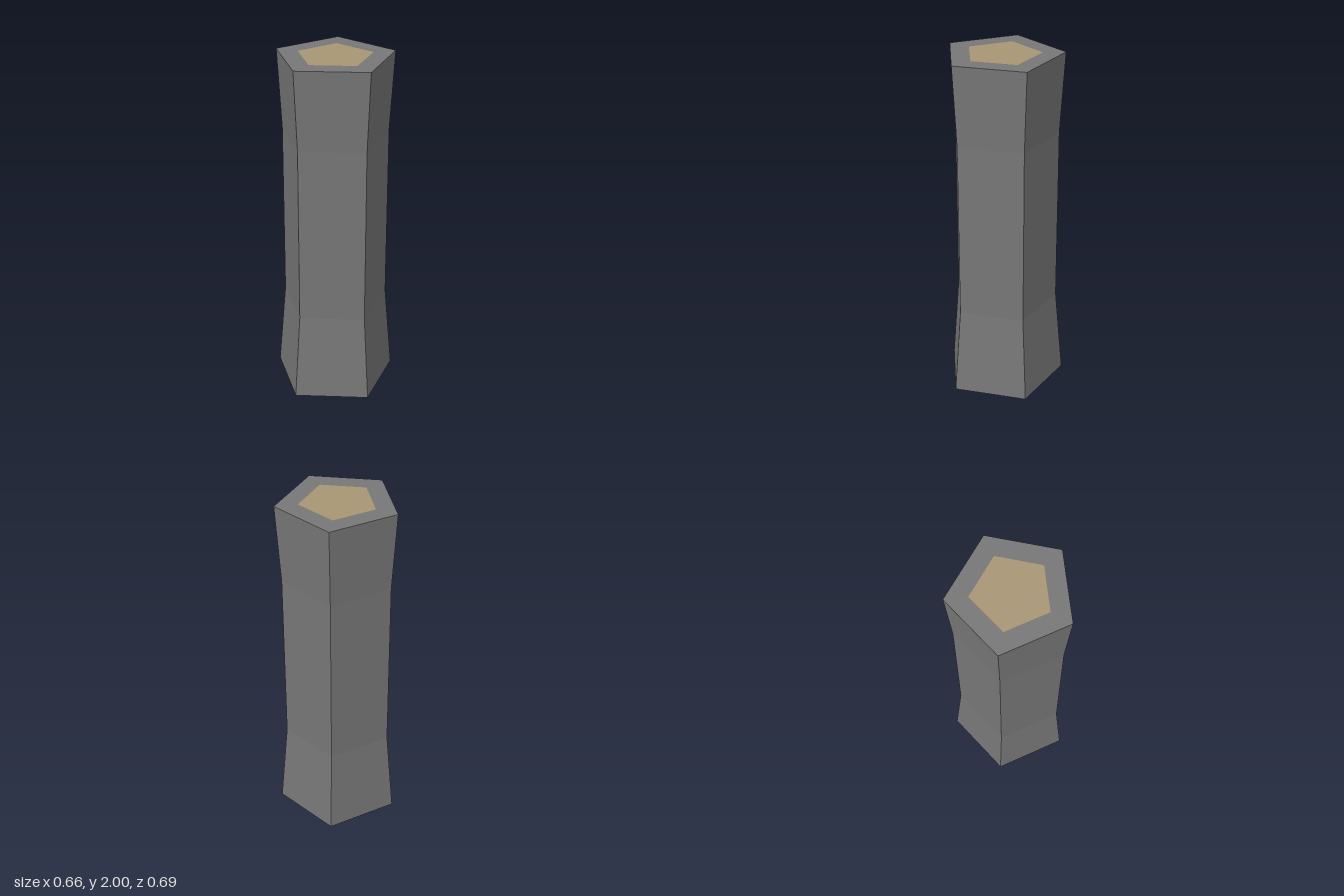
import * as THREE from 'three';

const SIDES = 5;
const RADIUS = 0.361;
const START = THREE.MathUtils.degToRad(51.5);

// Faceted surface from a [radius factor, height] profile, listed bottom to top
function facetedLathe(name, profile, color) {
  const points = profile.map(([s, y]) => new THREE.Vector2(s * RADIUS, y));
  const geometry = new THREE.LatheGeometry(points, SIDES, START, Math.PI * 2);
  const material = new THREE.MeshStandardMaterial({ color, flatShading: true, side: THREE.DoubleSide });
  const mesh = new THREE.Mesh(geometry, material);
  mesh.name = name;
  return mesh;
}

export function createModel() {
  const model = new THREE.Group();
  model.name = 'pentagonalColumn';

  const column = new THREE.Group();
  column.name = 'column';
  column.position.set(0.03, 0, 0.005);
  model.add(column);

  // Waisted shaft, open underneath, with a flat rim folding in at the top
  column.add(facetedLathe('shaft', [[1, 0], [0.874, 0.51], [0.874, 1.54], [0.95, 2], [0.6, 2]], 0x777777));

  // Flat inlay filling the middle of the top
  column.add(facetedLathe('topInlay', [[0.6, 2], [0, 2]], 0xa89674));

  return model;
}
